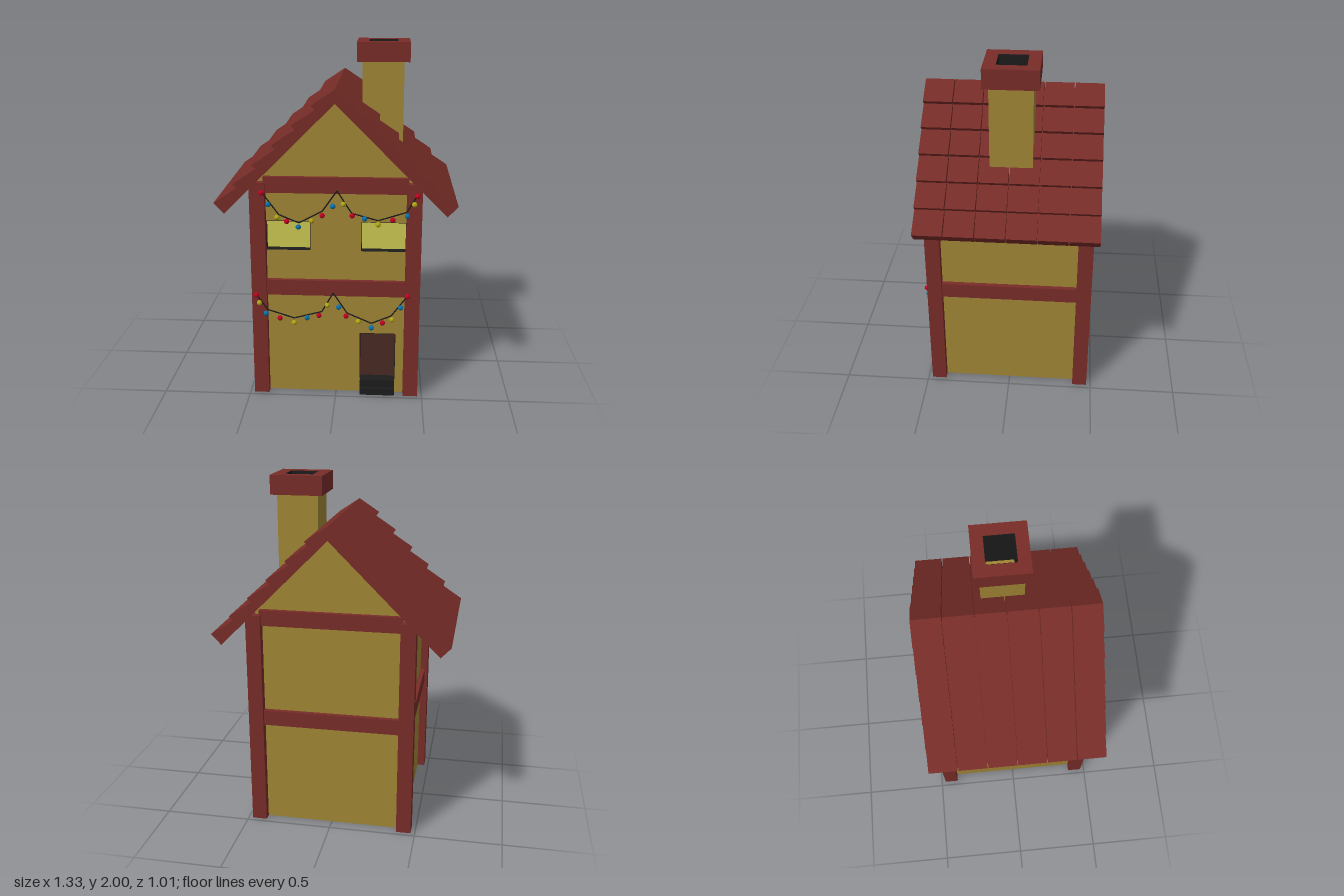
import * as THREE from 'three';

const mat = (color) => new THREE.MeshStandardMaterial({ color, flatShading: true });

export function createModel() {
  const house = new THREE.Group();
  house.name = 'house';
  const plaster = mat(0xa08535), timber = mat(0x782c28), tile = mat(0x762c27);
  const black = mat(0x1c1c1c), glass = mat(0xcbc752), wood = mat(0x4a2a22);
  const bulbMats = { r: mat(0xc00020), y: mat(0xb0a510), b: mat(0x0a70a8) };

  const add = (name, geo, material, parent = house) => {
    const m = new THREE.Mesh(geo, material);
    m.name = name;
    parent.add(m);
    return m;
  };
  // box given by its min and max corners
  const box = (name, a, b, material, parent) => {
    const m = add(name, new THREE.BoxGeometry(b[0] - a[0], b[1] - a[1], b[2] - a[2]), material, parent);
    m.position.set((a[0] + b[0]) / 2, (a[1] + b[1]) / 2, (a[2] + b[2]) / 2);
    return m;
  };
  const poly = (pts) => new THREE.Shape(pts.map(([x, y]) => new THREE.Vector2(x, y)));
  const rect = (x0, y0, x1, y1, g = 0) =>
    poly([[x0 - g, y0 - g], [x1 + g, y0 - g], [x1 + g, y1 + g], [x0 - g, y1 + g]]);
  const extrude = (shape, z0, z1) => {
    const g = new THREE.ExtrudeGeometry(shape, { depth: z1 - z0, bevelEnabled: false });
    return g.translate(0, 0, z0);
  };

  // walls: solid core plus a front panel with recessed openings
  const W = 0.43, BACK = 0.385;
  const gable = () => poly([[-W, 0], [W, 0], [W, 1.29], [0, 1.725], [-W, 1.29]]);
  add('walls', extrude(gable(), -W, BACK), plaster);
  const openings = [
    ['leftWindow', [0.145, 0.875, 0.39, 1.04], glass],
    ['rightWindow', [-0.39, 0.875, -0.145, 1.04], glass],
    ['door', [0.14, 0.085, 0.34, 0.37], wood],
  ];
  const front = gable();
  for (const [name, r, material] of openings) {
    front.holes.push(rect(...r, 0.003));
    const lining = rect(...r, 0.004);
    lining.holes.push(rect(...r));
    add(name + 'Reveal', extrude(lining, BACK, W - 0.001), black);
    box(name, [r[0], r[1], BACK - 0.01], [r[2], r[3], BACK + 0.004], material);
  }
  add('frontWall', extrude(front, BACK, W), plaster);

  // door steps
  box('lowerStep', [0.14, 0, 0.4], [0.34, 0.04, 0.475], black);
  box('upperStep', [0.14, 0.04, 0.4], [0.34, 0.085, 0.452], black);

  // timber frame
  const frame = new THREE.Group();
  frame.name = 'timberFrame';
  house.add(frame);
  for (const sx of [-1, 1]) for (const sz of [-1, 1]) {
    const post = box('cornerPost', [-0.0425, 0, -0.0425], [0.0425, 1.27, 0.0425], timber, frame);
    post.position.x = sx * 0.4325;
    post.position.z = sz * 0.4325;
  }
  for (const s of [-1, 1]) {
    for (const [y0, y1, ySide] of [[0.61, 0.70, 0.70], [1.21, 1.30, 1.27]]) {
      box('crossBeam', [-0.4, y0, s * 0.437 - 0.02], [0.4, y1, s * 0.437 + 0.02], timber, frame);
      box('sideBeam', [s * 0.437 - 0.02, y0, -0.4], [s * 0.437 + 0.02, ySide, 0.4], timber, frame);
    }
  }

  // roof: boarding under six overlapping tile courses on each slope
  const roof = new THREE.Group();
  roof.name = 'roof';
  house.add(roof);
  add('roofBoarding', extrude(poly([
    [0, 1.755], [0.63, 1.125], [0.61, 1.105], [0, 1.715],
    [-0.61, 1.105], [-0.63, 1.125]]), -0.5, 0.5), tile, roof);
  const pitch = 1.01 / 6;
  for (const s of [-1, 1]) for (let row = 0; row < 6; row++) {
    const x = 0.667 - 0.108 * row, y = 1.16 + 0.108 * row;
    const profile = row < 5
      ? [[x, y], [x - 0.145, y + 0.097], [x - 0.165, y + 0.048], [x - 0.057, y - 0.06]]
      : [[x, y], [0, 1.785], [0, 1.71], [x - 0.057, y - 0.06]];
    for (let col = 0; col < 6; col++) {
      const z = -0.505 + col * pitch;
      add('roofTile', extrude(poly(profile.map(([px, py]) => [s * px, py])),
        z + 0.003, z + pitch - 0.003), tile, roof);
    }
  }

  // chimney: hollow shaft, dark flue and capping ring
  const chimney = new THREE.Group();
  chimney.name = 'chimney';
  chimney.position.set(0.25, 0, -0.008);
  house.add(chimney);
  const ring = (name, outer, inner, y0, y1, material) => {
    const s = rect(-outer, -outer, outer, outer);
    s.holes.push(rect(-inner, -inner, inner, inner));
    add(name, extrude(s, y0, y1).rotateX(-Math.PI / 2), material, chimney);
  };
  ring('chimneyShaft', 0.118, 0.082, 1.38, 1.9, plaster);
  ring('chimneyCap', 0.15, 0.082, 1.89, 2, timber);
  ring('chimneyFlue', 0.083, 0.08, 1.7, 1.999, black);
  box('flueFloor', [-0.081, 1.68, -0.081], [0.081, 1.72, 0.081], plaster, chimney);

  // light strings: [x, y] points for the cord and the hanging bulbs
  const strings = [
    { name: 'upperLights', order: 'rby',
      cord: [[-0.405, 1.225], [-0.31, 1.095], [-0.2, 1.05], [-0.07, 1.12], [0.01, 1.235],
        [0.09, 1.11], [0.235, 1.07], [0.39, 1.12], [0.445, 1.215]],
      bulbs: [[-0.405, 1.218], [-0.368, 1.153], [-0.32, 1.08], [-0.267, 1.058], [-0.203, 1.027],
        [-0.13, 1.063], [-0.071, 1.095], [-0.013, 1.148], [0.045, 1.16], [0.093, 1.097],
        [0.161, 1.08], [0.235, 1.048], [0.315, 1.075], [0.394, 1.1], [0.431, 1.165], [0.447, 1.212]],
      colors: 'rbyrbyrbyrbyrbyr' },
    { name: 'lowerLights',
      cord: [[-0.447, 0.62], [-0.385, 0.53], [-0.235, 0.482], [-0.077, 0.525], [-0.012, 0.64],
        [0.066, 0.52], [0.204, 0.46], [0.315, 0.508], [0.405, 0.63]],
      bulbs: [[-0.447, 0.62], [-0.431, 0.572], [-0.394, 0.508], [-0.315, 0.481], [-0.235, 0.455],
        [-0.161, 0.487], [-0.093, 0.503], [-0.045, 0.566], [0.019, 0.556], [0.061, 0.503],
        [0.13, 0.471], [0.204, 0.434], [0.267, 0.466], [0.32, 0.487], [0.368, 0.561], [0.405, 0.63]],
      colors: 'rybrybrybrybrybr' },
  ];
  const bulbGeo = new THREE.SphereGeometry(0.015, 10, 8);
  for (const { name, cord, bulbs, colors } of strings) {
    const g = new THREE.Group();
    g.name = name;
    house.add(g);
    for (let i = 1; i < cord.length; i++) {
      const [a, b] = [cord[i - 1], cord[i]].map(([x, y]) => new THREE.Vector3(x, y, 0.484));
      add('cord', new THREE.TubeGeometry(new THREE.LineCurve3(a, b), 1, 0.004, 5), black, g);
    }
    bulbs.forEach(([x, y], i) => {
      add('bulb', bulbGeo, bulbMats[colors[i]], g).position.set(x, y, 0.489);
    });
  }
  return house;
}
